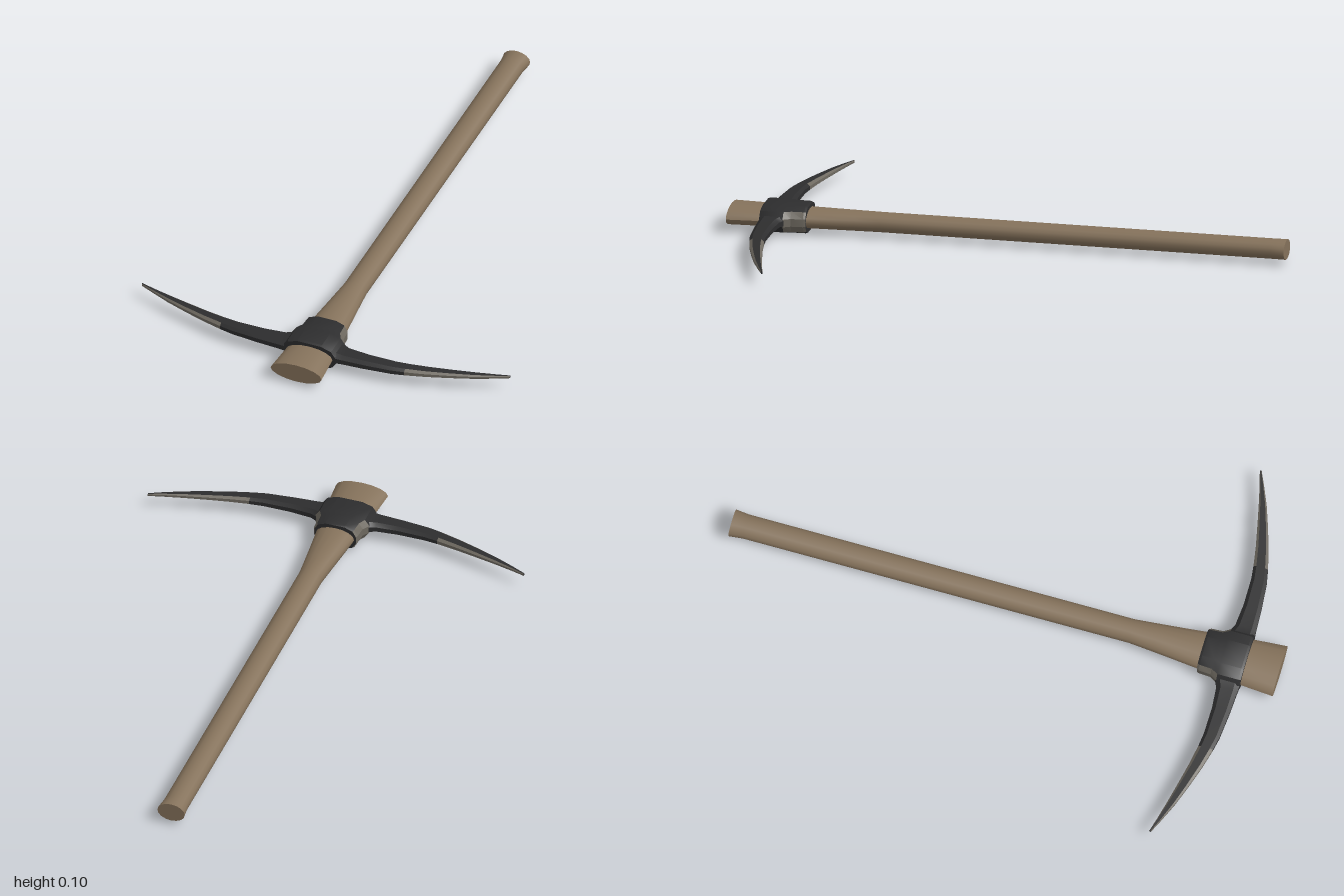
import * as THREE from 'three';
import { toCreasedNormals } from 'three/addons/utils/BufferGeometryUtils.js';

const MID = 0.055; // height of the tool's centre line

// Skins closed rings of [x, y, z] points, caps both ends; pick(i, j) selects the material of each quad.
function loft(rings, crease, pick = () => 0) {
  const n = rings[0].length, last = rings.length - 1;
  const faces = [[], []];
  for (let i = 0; i < last; i++) {
    for (let j = 0; j < n; j++) {
      const k = (j + 1) % n;
      const a = i * n + j, b = i * n + k, c = a + n, d = b + n;
      faces[pick(i, j)].push(a, b, d, a, d, c);
    }
  }
  for (let j = 1; j < n - 1; j++) {
    faces[0].push(0, j + 1, j);
    faces[0].push(last * n, last * n + j, last * n + j + 1);
  }
  const geo = new THREE.BufferGeometry();
  geo.setAttribute('position', new THREE.Float32BufferAttribute(rings.flat(2), 3));
  geo.setIndex([...faces[0], ...faces[1]]);
  geo.addGroup(0, faces[0].length, 0);
  geo.addGroup(faces[0].length, faces[1].length, 1);
  return toCreasedNormals(geo, crease);
}

function material(name, color) {
  const m = new THREE.MeshStandardMaterial({ color });
  m.name = name;
  return m;
}

export function createModel() {
  const wood = material('wood', 0x85725b);
  const iron = material('dark iron', 0x2d2d2e);
  const worn = material('worn steel', 0x6e6960);

  const tool = new THREE.Group();
  tool.name = 'pickaxe';
  tool.position.y = MID;
  const add = (name, geo, mats) => {
    const mesh = new THREE.Mesh(geo, mats);
    mesh.name = name;
    tool.add(mesh);
    return mesh;
  };

  // Handle: oval shaft flaring to a wide eye end, with a slight lip at the grip end
  const shaft = [[-1, 0.051], [-0.95, 0.045], [0.46, 0.044], [0.55, 0.053], [0.72, 0.071], [0.88, 0.088], [1, 0.097]];
  const handle = shaft.map(([z, w]) => Array.from({ length: 16 }, (_, j) => {
    const a = (j / 16) * Math.PI * 2;
    return [Math.cos(a) * w, Math.sin(a) * 0.035, z];
  }));
  add('handle', loft(handle, 0.8), [wood, wood]);

  // Collar: bevelled socket around the handle, worn on its rear flanks
  const quarter = [[1, 0.014], [0.84, 0.037], [0.45, 0.049]];
  const outline = [
    ...quarter,
    ...quarter.map(([x, y]) => [-x, y]).reverse(),
    ...quarter.map(([x, y]) => [-x, -y]),
    ...quarter.map(([x, y]) => [x, -y]).reverse(),
  ];
  const socket = [[0.718, 0.077, 0.94], [0.726, 0.081, 1], [0.77, 0.084, 1], [0.795, 0.1, 1], [0.872, 0.1, 1], [0.88, 0.097, 0.94]];
  const collar = socket.map(([z, w, s]) => outline.map(([x, y]) => [x * w, y * s, z]));
  const flanks = [0, 5, 6, 10, 11, 4];
  add('collar', loft(collar, 0.4, (i, j) => (i < 3 && flanks.includes(j) ? 1 : 0)), [iron, worn]);

  // Arms: curved tapering picks, [x, rear z, front z, half height], with worn bevels toward the tip
  const stations = [
    [0.06, 0.765, 0.88, 0.032], [0.095, 0.79, 0.88, 0.022], [0.12, 0.802, 0.878, 0.0195],
    [0.2, 0.809, 0.874, 0.018], [0.3, 0.808, 0.865, 0.016], [0.35, 0.802, 0.855, 0.0145],
    [0.42, 0.79, 0.837, 0.0125], [0.5, 0.773, 0.812, 0.0105], [0.58, 0.755, 0.784, 0.0085],
    [0.65, 0.738, 0.754, 0.0065], [0.7, 0.724, 0.731, 0.0045],
  ];
  const arm = stations.map(([x, zb, zf, h]) => {
    const b = (zf - zb) * 0.2, e = h * 0.45;
    return [
      [x, h, zb + b], [x, h, zf - b], [x, e, zf], [x, -e, zf],
      [x, -h, zf - b], [x, -h, zb + b], [x, -e, zb], [x, e, zb],
    ];
  });
  const armGeo = loft(arm, 0.4, (i, j) => (i >= 5 && j !== 0 && j !== 4 ? 1 : 0));
  add('leftPick', armGeo, [iron, worn]);
  add('rightPick', armGeo, [iron, worn]).rotation.z = Math.PI;

  const model = new THREE.Group();
  model.name = 'model';
  model.add(tool);
  return model;
}
